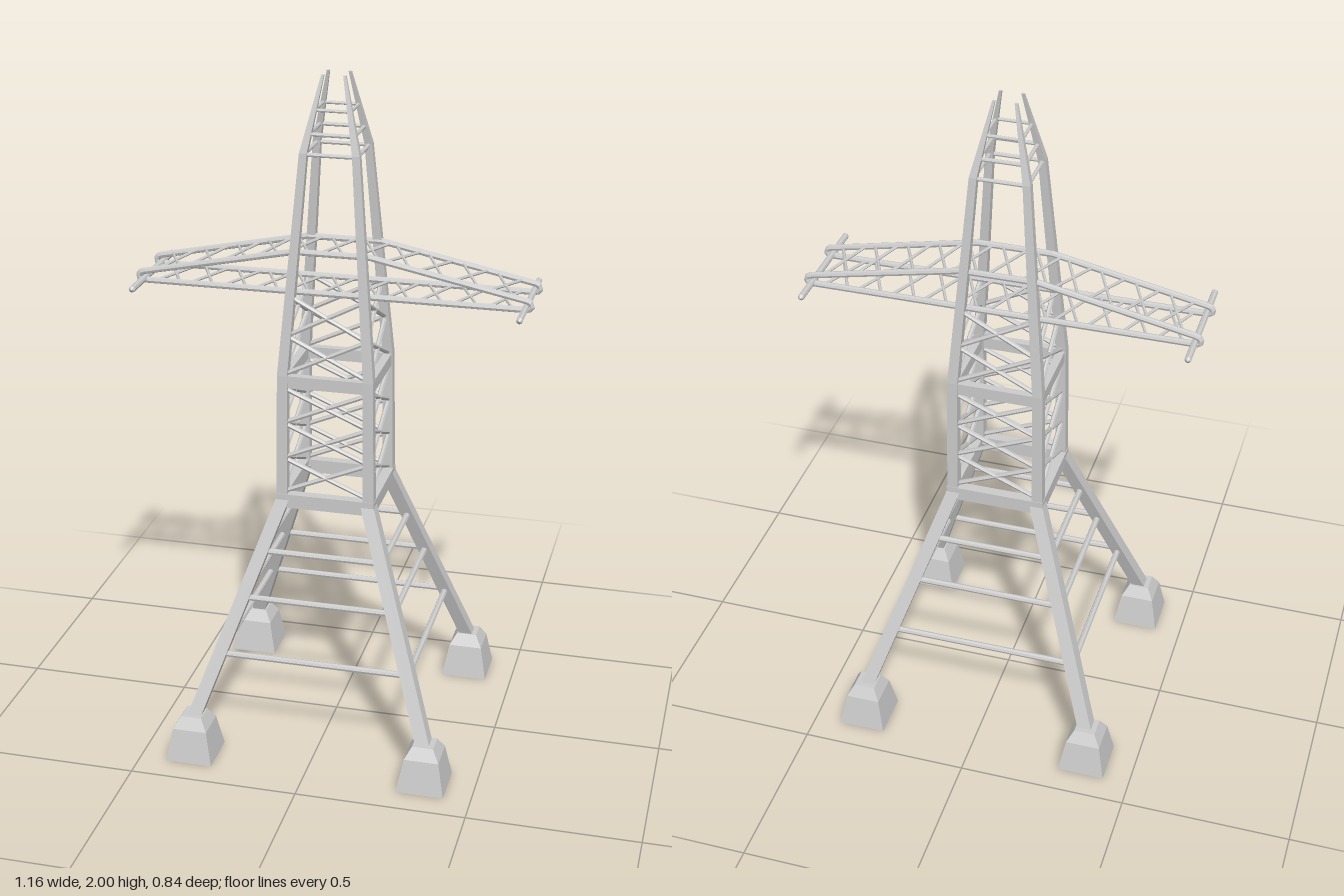
import * as THREE from 'three';

const mat = new THREE.MeshStandardMaterial({ color: 0xcccccc, flatShading: true });
const V = (x, y, z) => new THREE.Vector3(x, y, z);
const UP = V(0, 1, 0);

function add(parent, name, geometry) {
  const mesh = new THREE.Mesh(geometry, mat);
  mesh.name = name;
  parent.add(mesh);
  return mesh;
}

function group(parent, name) {
  const g = new THREE.Group();
  g.name = name;
  parent.add(g);
  return g;
}

// Round bar between two points
function bar(parent, name, a, b, r, sides = 8) {
  const d = b.clone().sub(a);
  const mesh = add(parent, name, new THREE.CylinderGeometry(r, r, d.length(), sides));
  mesh.position.copy(a).add(b).multiplyScalar(0.5);
  mesh.quaternion.setFromUnitVectors(UP, d.normalize());
  return mesh;
}

// Square column through level sections [x, y, z, halfWidth], bottom to top
function column(sections) {
  const pos = [], idx = [];
  for (const [x, y, z, h] of sections)
    for (const [u, w] of [[1, 1], [1, -1], [-1, -1], [-1, 1]]) pos.push(x + u * h, y, z + w * h);
  for (let s = 0; s < sections.length - 1; s++)
    for (let k = 0; k < 4; k++) {
      const a = s * 4 + k, b = s * 4 + (k + 1) % 4;
      idx.push(a, b, b + 4, a, b + 4, a + 4);
    }
  const t = (sections.length - 1) * 4;
  idx.push(0, 2, 1, 0, 3, 2, t, t + 1, t + 2, t, t + 2, t + 3);
  const g = new THREE.BufferGeometry();
  g.setAttribute('position', new THREE.Float32BufferAttribute(pos, 3));
  g.setIndex(idx);
  const flat = g.toNonIndexed();
  flat.computeVertexNormals();
  return flat;
}

// Corner post profile: [distance from axis, height, half width]
const lowerLeg = [[0.35, 0.12, 0.021], [0.128, 0.765, 0.02]];
const upperLeg = [[0.13, 0.75, 0.016], [0.126, 1.15, 0.015], [0.075, 1.79, 0.011], [0.031, 2, 0.004]];

// Distance of a post from the axis at height y
function reach(y) {
  const p = y < 0.765 ? lowerLeg : upperLeg;
  let i = 0;
  while (i < p.length - 2 && y > p[i + 1][1]) i++;
  return THREE.MathUtils.mapLinear(y, p[i][1], p[i + 1][1], p[i][0], p[i + 1][0]);
}

export function createModel() {
  const model = new THREE.Group();
  model.name = 'latticeTower';

  // Footings and posts at the four corners
  for (const sx of [1, -1]) for (const sz of [1, -1]) {
    const at = (p) => p.map(([d, y, h]) => [sx * d, y, sz * d, h]);
    add(model, 'footing', column(at([[0.35, 0, 0.07], [0.35, 0.1, 0.051], [0.35, 0.135, 0.031]])));
    add(model, 'lowerLeg', column(at(lowerLeg)));
    add(model, 'upperLeg', column(at(upperLeg)));
  }

  // Bars, collars and cross braces on the four sides
  for (let side = 0; side < 4; side++) {
    const face = group(model, 'towerSide');
    face.rotation.y = side * Math.PI / 2;

    for (const [y, r] of [[0.31, 0.0095], [0.475, 0.0095], [0.61, 0.0095], [1.785, 0.006], [1.84, 0.006], [1.905, 0.005]]) {
      const d = reach(y);
      bar(face, 'crossBar', V(-d, y, d), V(d, y, d), r);
    }
    for (const [y, half, h, t] of [[0.762, 0.147, 0.042, 0.03], [1.132, 0.138, 0.036, 0.024]]) {
      const beam = add(face, 'collarBeam', new THREE.BoxGeometry(2 * half, h, t));
      beam.position.set(0, y, half - t / 2);
    }
    for (const [bottom, top, count] of [[0.785, 1.11, 3], [1.15, 1.38, 2]]) {
      const step = (top - bottom) / count;
      for (let i = 0; i < count; i++) {
        const y0 = bottom + i * step, y1 = y0 + step;
        const d0 = reach(y0), d1 = reach(y1);
        for (const s of [1, -1]) bar(face, 'brace', V(-s * d0, y0, d0), V(s * d1, y1, d1), 0.007, 6);
      }
    }
  }

  // Crossarm: two closed side rails joined by lattice
  const arm = group(model, 'crossarm');
  arm.position.z = -0.012;
  const depth = 0.08;
  const outline = [[-0.11, 1.5], [0.11, 1.5], [0.56, 1.408], [0.569, 1.403], [0.572, 1.395], [0.569, 1.387], [0.56, 1.383],
    [-0.56, 1.383], [-0.569, 1.387], [-0.572, 1.395], [-0.569, 1.403], [-0.56, 1.408]];
  for (const z of [depth, -depth]) {
    const path = new THREE.CurvePath();
    outline.forEach(([x, y], i) => {
      const [nx, ny] = outline[(i + 1) % outline.length];
      path.add(new THREE.LineCurve3(V(x, y, z), V(nx, ny, z)));
    });
    add(arm, 'sideRail', new THREE.TubeGeometry(path, 240, 0.0095, 8, true));
  }

  const topY = (x) => Math.abs(x) < 0.11 ? 1.5 : 1.5 - (Math.abs(x) - 0.11) * 0.2044;
  const cross = (x, heightAt, name) => {
    for (const s of [1, -1]) {
      const a = x - s * 0.036, b = x + s * 0.036;
      bar(arm, name, V(a, heightAt(a), -depth), V(b, heightAt(b), depth), 0.0045, 6);
    }
  };
  for (const x of [0, 0.1, 0.19, 0.285, 0.385, 0.485]) for (const s of x ? [1, -1] : [1]) {
    cross(s * x, topY, 'topLattice');
    cross(s * x, () => 1.383, 'bottomLattice');
  }

  // End bars with pointed tips
  for (const s of [1, -1]) {
    const profile = [[0, -0.188], [0.0095, -0.18], [0.0095, 0.18], [0, 0.188]].map(([r, y]) => new THREE.Vector2(r, y));
    const end = add(arm, 'endBar', new THREE.LatheGeometry(profile, 8));
    end.rotation.x = Math.PI / 2;
    end.position.set(s * 0.555, 1.388, 0.01);
  }
  return model;
}
